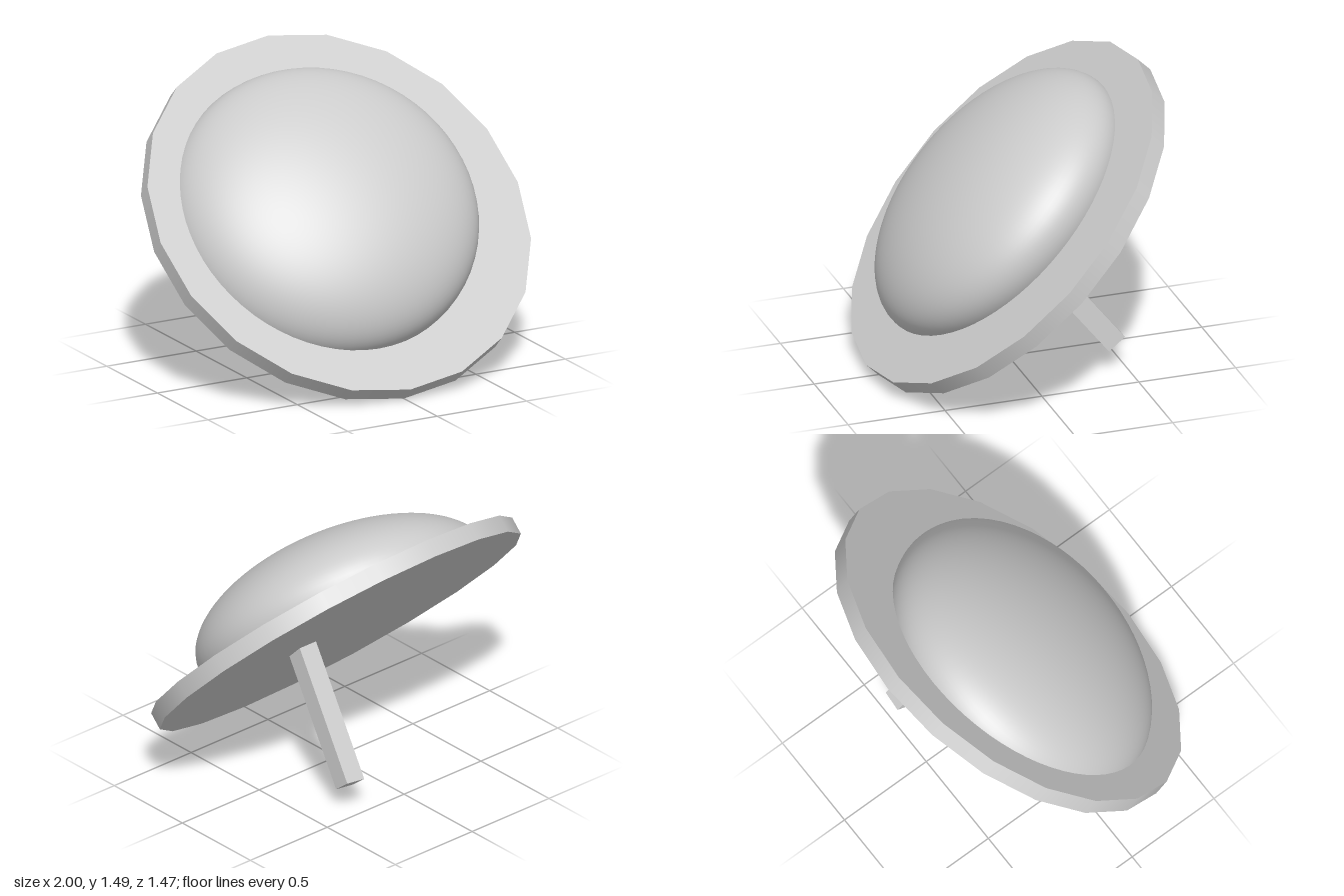
import * as THREE from 'three';

const material = new THREE.MeshStandardMaterial({ color: 0xcccccc });

function addMesh(parent, name, geometry) {
  const mesh = new THREE.Mesh(geometry, material);
  mesh.name = name;
  parent.add(mesh);
  return mesh;
}

// Flattened, slightly tilted sphere whose hidden underside is pressed flat inside the plate
function domeGeometry() {
  const geometry = new THREE.SphereGeometry(1, 64, 48);
  geometry.scale(0.77, 0.375, 0.77);
  geometry.rotateZ(THREE.MathUtils.degToRad(7.5));
  geometry.translate(-0.077, 0.045, -0.015);
  const p = geometry.attributes.position;
  for (let i = 0; i < p.count; i++) p.setY(i, Math.max(p.getY(i), 0));
  return geometry;
}

// Square bar running between two points, one side kept level with x
function barBetween(parent, name, from, to, width) {
  const along = to.clone().sub(from);
  const bar = addMesh(parent, name, new THREE.BoxGeometry(width, along.length(), width));
  const y = along.normalize();
  const x = new THREE.Vector3(1, 0, 0).addScaledVector(y, -y.x).normalize();
  const z = new THREE.Vector3().crossVectors(x, y);
  bar.quaternion.setFromRotationMatrix(new THREE.Matrix4().makeBasis(x, y, z));
  bar.position.copy(from).add(to).multiplyScalar(0.5);
}

export function createModel() {
  const model = new THREE.Group();

  // Twenty-sided plate and its dome, leaning back together
  const head = new THREE.Group();
  head.name = 'tiltedHead';
  head.position.y = 0.7475;
  head.rotation.x = THREE.MathUtils.degToRad(45.4);
  model.add(head);
  addMesh(head, 'plate', new THREE.CylinderGeometry(1, 1, 0.09, 20));
  addMesh(head, 'dome', domeGeometry());

  // Rear prop, its top set into the plate
  barBetween(model, 'rearProp',
    new THREE.Vector3(0.30, 0.147, -0.443), new THREE.Vector3(0.22, 0.72, 0.014), 0.105);

  return model;
}
